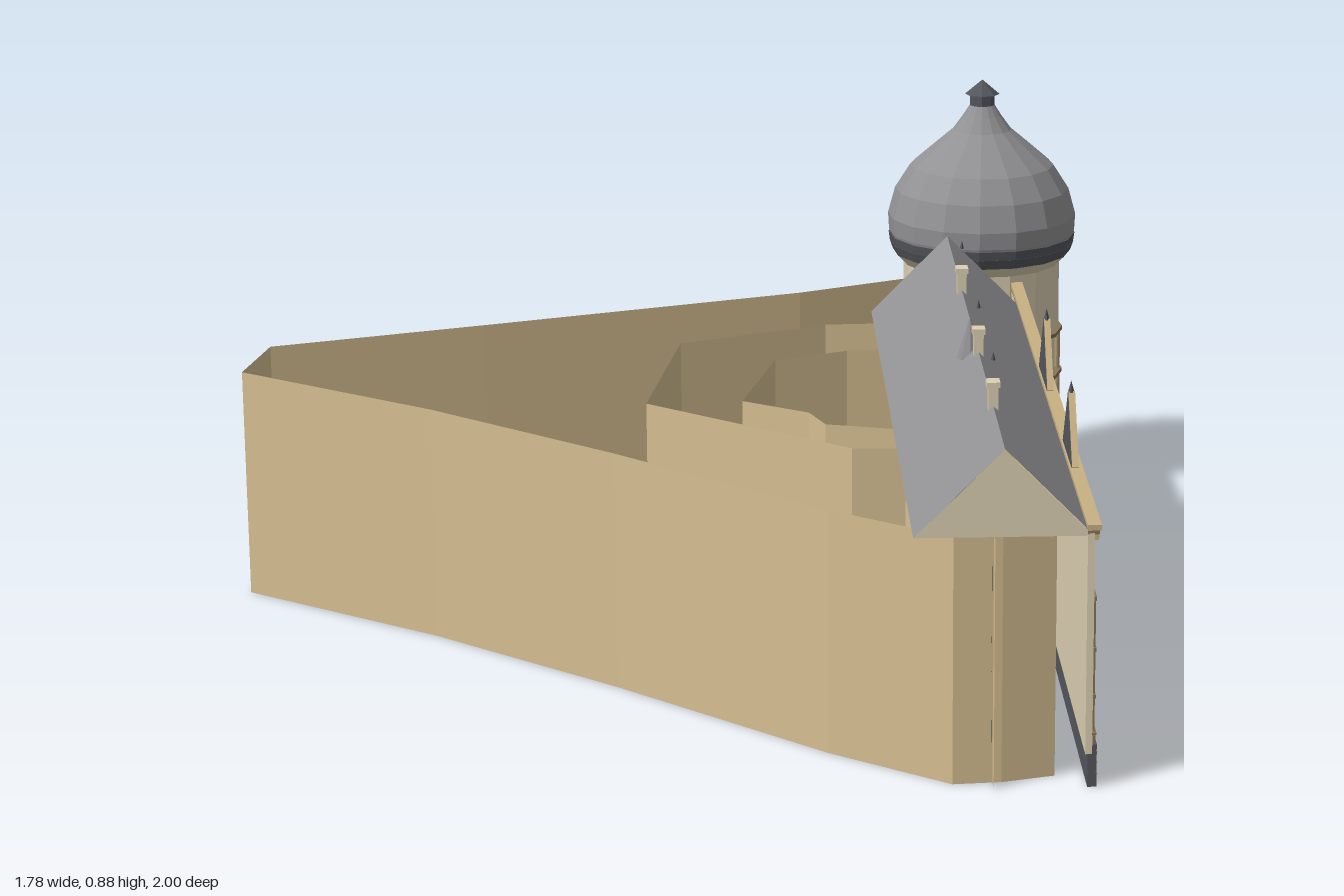
import * as THREE from 'three';

const mat = (name, color, double = false) => {
  const m = new THREE.MeshStandardMaterial({ color, side: double ? THREE.DoubleSide : THREE.FrontSide, flatShading: true });
  m.name = name;
  return m;
};

export function createModel() {
  const cream = mat('cream plaster', 0xddd0b3, true);
  const tan = mat('tan wall', 0xd6bf92, true);
  const slate = mat('slate roof', 0x929295, true);
  const dark = mat('dark stone', 0x53565b, true);
  const trim = mat('brown trim', 0x877555);
  const frame = mat('ochre frame', 0xc8b083);
  const glass = mat('window glass', 0x2c3a42);

  const root = new THREE.Group();
  root.name = 'castleWithTower';

  const add = (parent, name, geo, m, x = 0, y = 0, z = 0) => {
    const mesh = new THREE.Mesh(geo, m);
    mesh.name = name;
    mesh.position.set(x, y, z);
    parent.add(mesh);
    return mesh;
  };
  const box = (parent, name, m, w, h, d, x, y, z) => add(parent, name, new THREE.BoxGeometry(w, h, d), m, x, y, z);
  const faces = (tris) => {
    const g = new THREE.BufferGeometry();
    g.setAttribute('position', new THREE.Float32BufferAttribute(tris.flat(), 3));
    g.computeVertexNormals();
    return g;
  };
  const quad = (a, b, c, d) => [a, b, c, a, c, d];
  // upright sheet following a ground path of [x, z] points
  const ribbon = (parent, name, m, pts, h) => {
    const t = [];
    for (let i = 0; i + 1 < pts.length; i++) {
      const [ax, az] = pts[i], [bx, bz] = pts[i + 1];
      t.push(...quad([ax, 0, az], [bx, 0, bz], [bx, h, bz], [ax, h, az]));
    }
    add(parent, name, faces(t), m);
  };

  // ---- outer and courtyard walls
  const H = 0.45;
  ribbon(root, 'outerWall', tan, [[0.56, -0.55], [0.32, -0.61], [-0.325, -0.845], [-0.74, -1], [-0.89, -0.88],
    [-0.78, -0.42], [-0.71, 0.04], [-0.655, 0.56], [-0.6, 0.82], [-0.53, 0.87], [-0.44, 0.91]], H);
  ribbon(root, 'courtyardOuterWall', tan, [[0.39, -0.22], [0.185, -0.38], [-0.124, -0.468], [-0.455, -0.175], [-0.37, 0.31], [-0.2, 0.47]], H);
  ribbon(root, 'courtyardInnerWall', tan, [[0.27, -0.08], [0.08, -0.2], [-0.069, -0.245], [-0.31, -0.065], [-0.27, 0.08], [-0.3, 0.16], [-0.14, 0.4]], H);
  add(root, 'stairTurret', new THREE.CylinderGeometry(0.065, 0.065, H, 12, 1, true), tan, -0.345, H / 2, 0.52);

  // ---- main wing: local x runs along the street front, local z points outward
  const wing = new THREE.Group();
  wing.name = 'mainWing';
  wing.position.set(-0.431, 0, 0.992);
  wing.rotation.y = 0.875;
  root.add(wing);
  const L = 1.67, R = 1.53, D = 0.31, BACK = -0.17;

  box(wing, 'frontWall', cream, L, 0.4, 0.012, L / 2, 0.26, -0.006);
  ribbon(wing, 'rearWall', tan, [[0, BACK], [R, BACK], [R, 0]], H);

  // plinth with pale courses
  box(wing, 'plinth', dark, L, 0.078, 0.016, L / 2, 0.039, 0);
  for (const y of [0.024, 0.046, 0.066]) box(wing, 'plinthCourse', frame, L, 0.004, 0.003, L / 2, y, 0.008);

  // string courses and cornice
  for (const y of [0.165, 0.25, 0.342]) box(wing, 'stringCourse', trim, L, 0.007, 0.006, L / 2, y, 0.002);
  box(wing, 'corniceLower', frame, L, 0.01, 0.018, L / 2, 0.453, -0.002);
  box(wing, 'corniceMiddle', trim, L, 0.008, 0.02, L / 2, 0.462, -0.002);
  box(wing, 'corniceUpper', frame, L + 0.01, 0.01, 0.024, L / 2, 0.471, -0.001);

  // balustrade
  box(wing, 'balustradeRail', trim, 1.51, 0.004, 0.008, 0.755, 0.097, 0.003);
  for (let i = 0; i < 50; i++) box(wing, 'baluster', trim, 0.011, 0.018, 0.006, 0.015 + i * 0.03, 0.086, 0.003);

  // pilasters and window surrounds
  for (let i = 0; i <= 9; i++) {
    const x = 0.01 + i * 0.166;
    box(wing, 'pilaster', trim, 0.007, 0.26, 0.005, x, 0.212, 0.0015);
    if (i === 9) continue;
    for (const y of [0.126, 0.208, 0.296]) {
      for (const k of [0.042, 0.083, 0.124]) {
        for (const s of [-1, 1]) box(wing, 'windowJamb', frame, 0.003, 0.062, 0.003, x + k + s * 0.013, y, 0.001);
        box(wing, 'windowHead', frame, 0.03, 0.003, 0.003, x + k, y + 0.031, 0.001);
      }
    }
  }

  // arched windows on the courtyard side
  const arch = new THREE.Shape();
  arch.moveTo(-0.017, -0.034);
  arch.lineTo(0.017, -0.034);
  arch.lineTo(0.017, 0.016);
  arch.absarc(0, 0.016, 0.017, 0, Math.PI, false);
  const archGeo = new THREE.ShapeGeometry(arch, 4);
  for (let i = 0; i < 22; i++) {
    for (const y of [0.09, 0.19, 0.29, 0.385]) {
      add(wing, 'rearWindow', archGeo, glass, 0.04 + i * 0.069, y, BACK - 0.003).rotation.y = Math.PI;
    }
  }

  // saddle roof with end gables
  const e = 0.455, r = 0.612, m = -D / 2;
  add(wing, 'roof', faces([
    ...quad([0, e, 0], [R, e, 0], [R, r, m], [0, r, m]),
    ...quad([R, e, -D], [0, e, -D], [0, r, m], [R, r, m])]), slate);
  for (const x of [0.002, R - 0.002]) {
    add(wing, 'endGable', faces([[x, e, -D + 0.002], [x, e, -0.002], [x, r - 0.002, m]]), cream);
  }

  // ornamental gables standing on the cornice, slate behind
  const tri = new THREE.Shape([[-0.088, 0], [0.088, 0], [0, 0.115]].map((p) => new THREE.Vector2(...p)));
  for (const x of [0.42, 0.93]) {
    add(wing, 'frontGable', new THREE.ExtrudeGeometry(tri, { depth: 0.006, bevelEnabled: false }), cream, x, 0.476, -0.006);
    add(wing, 'gableBacking', new THREE.ExtrudeGeometry(tri, { depth: 0.004, bevelEnabled: false }), dark, x, 0.476, -0.01);
    for (const s of [-1, 1]) {
      const edge = box(wing, 'gableCoping', frame, 0.146, 0.005, 0.012, x + s * 0.044, 0.534, -0.003);
      edge.rotation.z = -s * Math.atan2(0.115, 0.088);
    }
    add(wing, 'gableFinial', new THREE.ConeGeometry(0.006, 0.022, 4), dark, x, 0.602, -0.004);
  }

  // chimneys and ridge spire
  for (const x of [0.276, 0.638, 1.095]) {
    box(wing, 'chimney', cream, 0.024, 0.06, 0.018, x, 0.618, m);
    box(wing, 'chimneyCap', cream, 0.03, 0.01, 0.024, x, 0.65, m);
    add(wing, 'chimneyTip', new THREE.ConeGeometry(0.004, 0.016, 4), dark, x, 0.7, m);
  }
  add(wing, 'ridgeSpire', new THREE.ConeGeometry(0.025, 0.08, 8), slate, 0.685, 0.625, m - 0.012);

  // ---- round corner tower
  const tower = new THREE.Group();
  tower.name = 'cornerTower';
  tower.position.set(0.69, 0, -0.45);
  root.add(tower);
  const N = 16;
  const ring = (name, material, rad, y0, y1, top = rad, open = false) =>
    add(tower, name, new THREE.CylinderGeometry(top, rad, y1 - y0, N, 1, open), material, 0, (y0 + y1) / 2, 0);
  // flat collar around the hollow shaft
  const band = (name, material, rad, y, h) => {
    const pts = [[0.16, y], [rad, y], [rad, y + h], [0.16, y + h]].map((p) => new THREE.Vector2(...p));
    add(tower, name, new THREE.LatheGeometry(pts, N), material);
  };

  ring('towerShaft', cream, 0.164, 0.07, 0.51, 0.164, true);
  ring('towerPlinth', dark, 0.175, 0, 0.06, 0.175, true);
  ring('towerPlinthTop', dark, 0.175, 0.06, 0.08, 0.164, true);
  for (const y of [0.022, 0.046]) ring('towerPlinthCourse', frame, 0.177, y, y + 0.004, 0.177, true);
  for (const y of [0.16, 0.246, 0.338]) band('towerBand', trim, 0.172, y, 0.008);
  ring('towerCornice', cream, 0.166, 0.49, 0.512, 0.186);
  ring('towerEaves', dark, 0.187, 0.512, 0.532, 0.194);

  // strips and window surrounds around the shaft
  for (let i = 0; i < 8; i++) {
    const bay = new THREE.Group();
    bay.name = 'towerBay';
    bay.rotation.y = (i / 8) * Math.PI * 2;
    tower.add(bay);
    box(bay, 'towerStrip', trim, 0.007, 0.26, 0.006, 0, 0.212, 0.165);
    for (const y of [0.126, 0.208, 0.296]) {
      for (const s of [-1, 1]) box(bay, 'towerJamb', frame, 0.003, 0.06, 0.005, s * 0.035, y, 0.158);
    }
  }

  // onion dome and finial
  const dome = [[0.188, 0.53], [0.195, 0.555], [0.197, 0.59], [0.182, 0.645], [0.15, 0.695], [0.1, 0.738],
    [0.062, 0.77], [0.04, 0.8], [0.026, 0.822]].map((p) => new THREE.Vector2(...p));
  add(tower, 'onionDome', new THREE.LatheGeometry(dome, N), slate);
  ring('domeEdge', dark, 0.193, 0.53, 0.55, 0.196);
  add(tower, 'finialNeck', new THREE.CylinderGeometry(0.026, 0.026, 0.034, 8), dark, 0, 0.829, 0);
  add(tower, 'finialCap', new THREE.ConeGeometry(0.036, 0.03, 8), dark, 0, 0.86, 0);

  return root;
}
